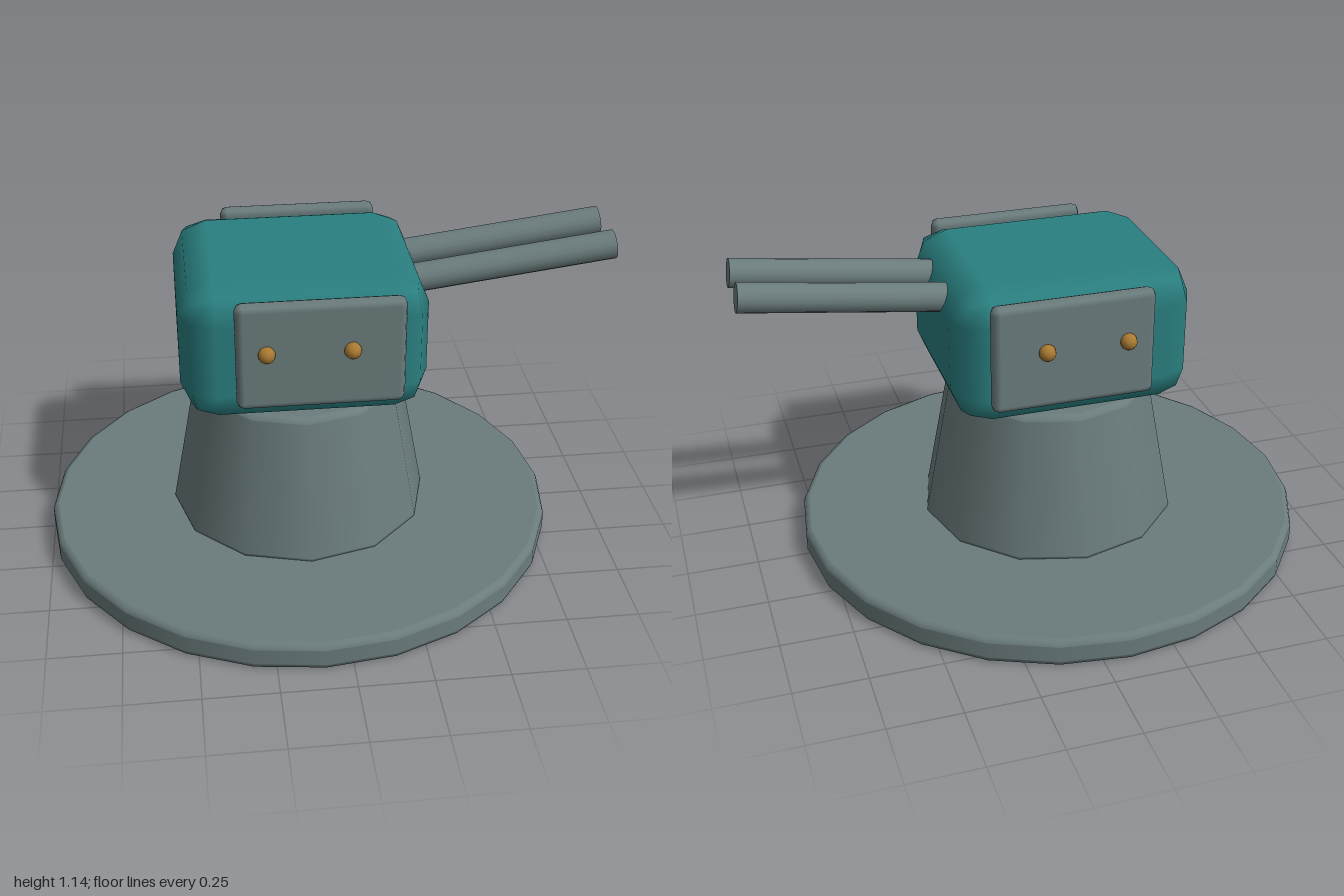
import * as THREE from 'three';
import { RoundedBoxGeometry } from 'three/addons/geometries/RoundedBoxGeometry.js';

const CX = -0.09; // turret axis

const makeMaterial = (name, color) => {
  const m = new THREE.MeshStandardMaterial({ color });
  m.name = name;
  return m;
};

// Round frustum with softened rims; extra rings keep the flat faces evenly shaded
function frustum(rBottom, rTop, height, bevel, sides) {
  const slope = (rTop - rBottom) / height;
  const at = (y) => rBottom + slope * y;
  const b = bevel, k = bevel * 0.3, e = 0.002;
  const profile = [
    [0, 0], [rBottom - b - e, 0], [rBottom - b, 0], [at(k) - k, k], [at(b), b], [at(b + e), b + e],
    [at(height - b - e), height - b - e], [at(height - b), height - b], [at(height - k) - k, height - k],
    [rTop - b, height], [rTop - b - e, height], [0, height],
  ];
  return new THREE.LatheGeometry(profile.map(([x, y]) => new THREE.Vector2(x, y)), sides);
}

export function createModel() {
  const model = new THREE.Group();
  model.name = 'turret';
  const steel = makeMaterial('steel grey', 0x6b7c7d);
  const teal = makeMaterial('teal paint', 0x2a7f80);
  const brass = makeMaterial('brass', 0xa97a32);

  const add = (name, geometry, material, x, y, z, parent = model) => {
    const mesh = new THREE.Mesh(geometry, material);
    mesh.name = name;
    mesh.position.set(x, y, z);
    parent.add(mesh);
    return mesh;
  };

  // Base disc and tapered pedestal
  add('base', frustum(0.91, 0.91, 0.1, 0.02, 24), steel, CX, 0, 0);
  add('pedestal', frustum(0.464, 0.365, 0.53, 0.018, 12), steel, CX, 0.09, 0);

  // Rounded gun housing
  add('housing', new RoundedBoxGeometry(0.84, 0.5, 0.72, 1, 0.122), teal, CX, 0.85, 0);

  // Side armour with two rivets each, and the two raised barrels
  const plateGeometry = new RoundedBoxGeometry(0.56, 0.38, 0.06, 1, 0.025);
  const rivetGeometry = new THREE.SphereGeometry(0.029, 12, 8);
  const tilt = 0.13, length = 0.8;
  const barrelGeometry = new THREE.CylinderGeometry(0.05, 0.05, length, 16);
  barrelGeometry.rotateZ(-Math.PI / 2);

  for (const side of [1, -1]) {
    const label = side > 0 ? 'front' : 'back';
    const armour = new THREE.Group();
    armour.name = label + 'Armour';
    model.add(armour);
    add('armourPlate', plateGeometry, steel, -0.05, 0.89, side * 0.39, armour);
    for (const x of [-0.23, 0.05]) add('rivet', rivetGeometry, brass, x, 0.91, side * 0.426, armour);

    const barrel = add(label + 'Barrel', barrelGeometry, steel,
      0.993 - Math.cos(tilt) * length / 2, 1.091 - Math.sin(tilt) * length / 2, side * 0.102);
    barrel.rotation.z = tilt;
  }
  return model;
}
